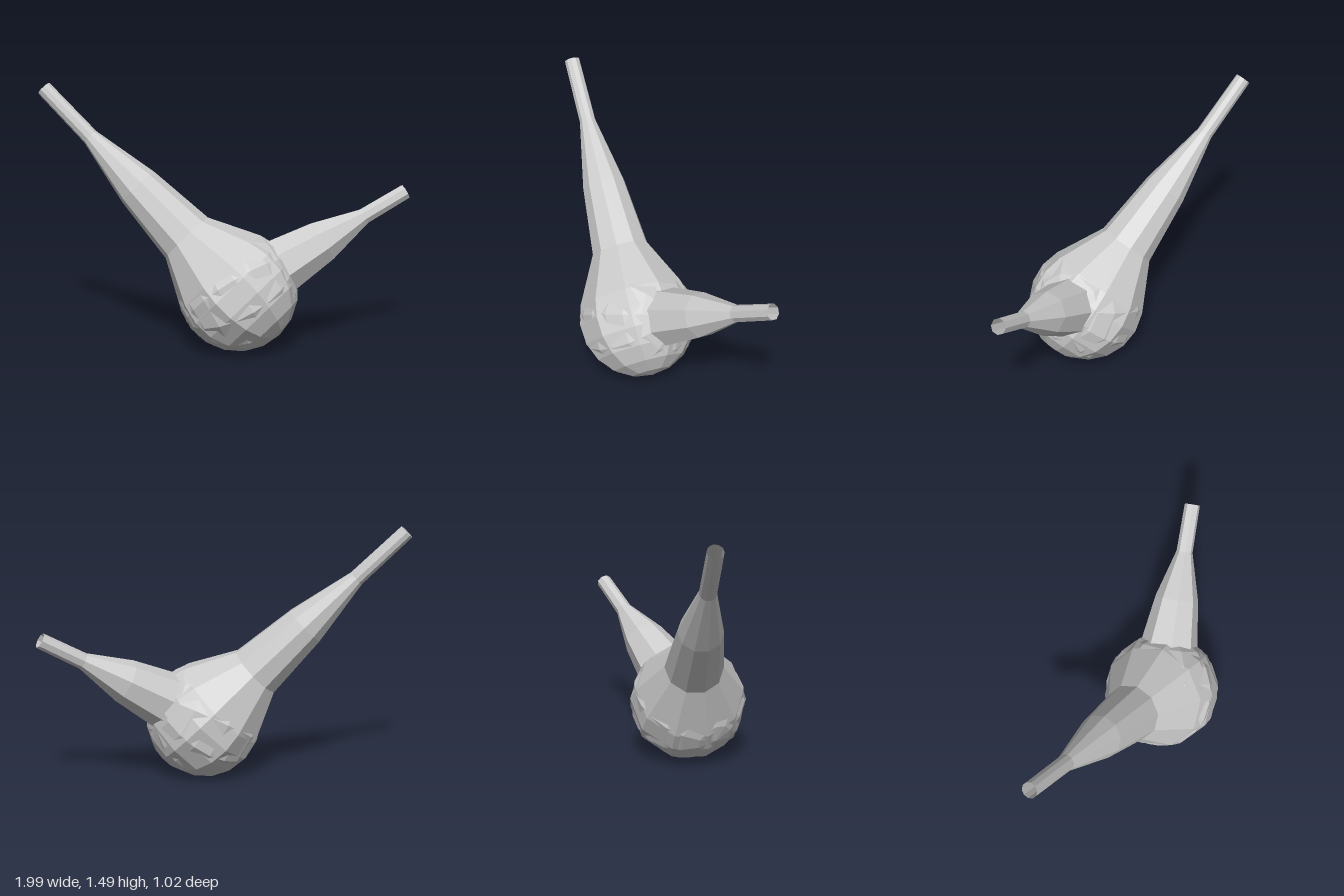
import * as THREE from 'three';

const CENTRE = new THREE.Vector3(0, 0.34, 0.17);
const UP = new THREE.Vector3(0, 1, 0);
const material = new THREE.MeshStandardMaterial({ color: 0xcccccc, flatShading: true, side: THREE.DoubleSide });

// Faceted solid of revolution whose axis runs from the body centre along dir
function turned(name, profile, sides, dir) {
  const points = profile.map(([r, t]) => new THREE.Vector2(r, t));
  const mesh = new THREE.Mesh(new THREE.LatheGeometry(points, sides), material);
  mesh.name = name;
  mesh.position.copy(CENTRE);
  mesh.quaternion.setFromUnitVectors(UP, dir.clone().normalize());
  return mesh;
}

// Profile of a sphere from its bottom pole up to the given polar angle
function spherePoints(radius, endAngle, steps) {
  const points = [];
  for (let i = 0; i <= steps; i++) {
    const a = (endAngle * i) / steps;
    points.push([radius * Math.sin(a), -radius * Math.cos(a)]);
  }
  return points;
}

export function createModel() {
  const group = new THREE.Group();
  const longDir = new THREE.Vector3(-0.96, 1.12, -0.64);
  const shortDir = new THREE.Vector3(0.97, 0.54, 0.12);

  // Round body drawn out into the long, open neck
  group.add(turned('bodyWithLongNeck', [
    ...spherePoints(0.343, THREE.MathUtils.degToRad(114), 6),
    [0.168, 0.42], [0.127, 0.82], [0.048, 1.22], [0.045, 1.61],
  ], 10, longDir));

  // Second faceted shell, barely breaking through the body's flats
  group.add(turned('innerShell', spherePoints(0.338, Math.PI, 10), 10, shortDir));

  // Short open neck on the other side
  group.add(turned('shortNeck', [
    [0.17, 0.28], [0.128, 0.56], [0.048, 0.84], [0.045, 1.12],
  ], 8, shortDir));

  return group;
}
